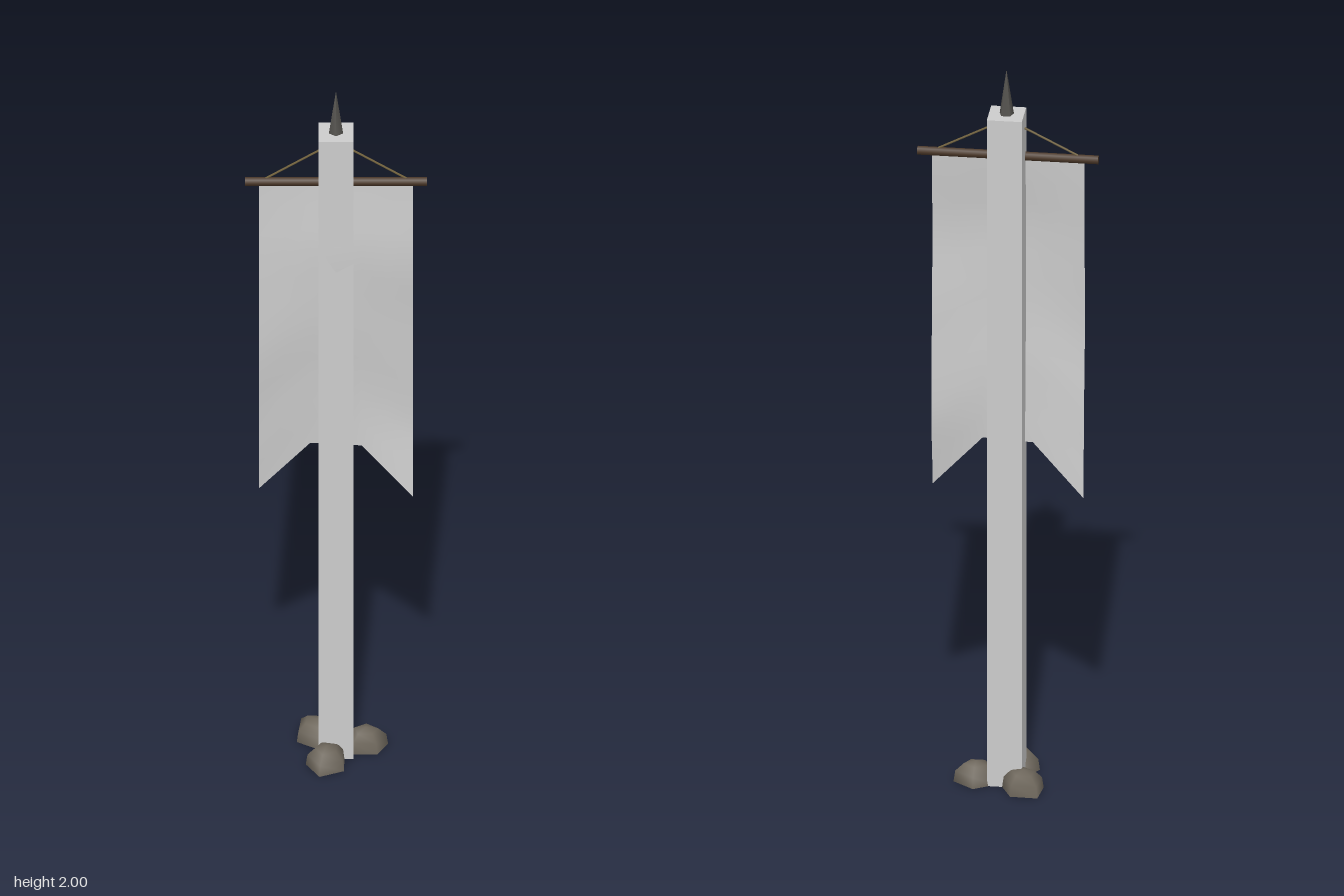
import * as THREE from 'three';

function material(name, color, side = THREE.FrontSide) {
  const m = new THREE.MeshStandardMaterial({ color, side });
  m.name = name;
  return m;
}

// Pentagonal stone: a base outline (clockwise from above) shrinking upward in rings
function stoneGeometry(outline) {
  const n = outline.length;
  const cx = outline.reduce((s, p) => s + p[0], 0) / n;
  const cz = outline.reduce((s, p) => s + p[1], 0) / n;
  const rings = [[0, 1], [0.03, 0.92], [0.05, 0.55]];
  const pos = [], index = [];
  const addRing = (y, k) => outline.forEach(([x, z]) => pos.push(cx + (x - cx) * k, y, cz + (z - cz) * k));
  rings.forEach(([y, k]) => addRing(y, k));
  pos.push(cx, 0.058, cz);
  const top = rings.length * n;
  addRing(0, 1);
  pos.push(cx, 0, cz);
  const base = top + 1, centre = base + n;
  for (let i = 0; i < n; i++) {
    const j = (i + 1) % n;
    for (let r = 0; r < rings.length - 1; r++) {
      const a = r * n, b = a + n;
      index.push(a + i, b + j, a + j, a + i, b + i, b + j);
    }
    index.push(top - n + i, top, top - n + j);
    index.push(centre, base + i, base + j);
  }
  const g = new THREE.BufferGeometry();
  g.setAttribute('position', new THREE.Float32BufferAttribute(pos, 3));
  g.setIndex(index);
  g.computeVertexNormals();
  return g;
}

// Rippled cloth with a swallow-tail lower edge
function bannerGeometry() {
  const g = new THREE.PlaneGeometry(0.392, 1, 6, 12);
  const p = g.attributes.position;
  // Sway in z at the left, middle and right of the cloth: [t, -x, centre, +x]
  const sway = [
    [0, 0.015, 0.015, 0.015],
    [0.25, 0.024, 0.031, 0.03],
    [0.5, 0.028, 0.027, 0.016],
    [0.8, 0.008, 0.015, 0.008],
    [1, -0.005, 0.01, 0.034],
  ];
  for (let i = 0; i < p.count; i++) {
    const x = p.getX(i), t = 0.5 - p.getY(i), a = Math.abs(x);
    const bottom = 0.945 - Math.max(0, (a - 0.065) / 0.131) * 0.145;
    let k = 0;
    while (k < sway.length - 2 && t > sway[k + 1][0]) k++;
    const f = THREE.MathUtils.smoothstep(t, sway[k][0], sway[k + 1][0]);
    const [, l, c, r] = sway[k].map((v, q) => THREE.MathUtils.lerp(v, sway[k + 1][q], f));
    const z = THREE.MathUtils.lerp(c, x < 0 ? l : r, a / 0.196);
    p.setXYZ(i, x, THREE.MathUtils.lerp(1.74, bottom, t), z);
  }
  g.computeVertexNormals();
  return g;
}

export function createModel() {
  const model = new THREE.Group();
  model.name = 'bannerPost';
  const pale = material('pale post', 0xcccccc);
  const cloth = material('pale cloth', 0xcacaca, THREE.DoubleSide);
  const wood = material('dark wood', 0x4a3728);
  const stone = material('stone', 0x6e675c);
  const metal = material('dark metal', 0x55534f);
  const rope = material('rope', 0x74643f);

  const add = (name, geometry, mat, x = 0, y = 0, z = 0) => {
    const mesh = new THREE.Mesh(geometry, mat);
    mesh.name = name;
    mesh.position.set(x, y, z);
    model.add(mesh);
    return mesh;
  };

  // Square post and its spike
  add('post', new THREE.BoxGeometry(0.09, 1.875, 0.09), pale, 0, 0.9375, -0.015);
  add('spike', new THREE.ConeGeometry(0.02, 0.13, 5), metal, 0, 1.935, -0.015);

  // Crossbar and banner
  add('crossbar', new THREE.CylinderGeometry(0.012, 0.012, 0.465, 8), wood, 0, 1.745, 0.015)
    .rotation.z = Math.PI / 2;
  add('banner', bannerGeometry(), cloth);

  // Ropes from the post to the crossbar
  for (const s of [-1, 1]) {
    const path = new THREE.LineCurve3(
      new THREE.Vector3(s * 0.18, 1.754, 0.015),
      new THREE.Vector3(s * 0.03, 1.838, 0));
    add(s > 0 ? 'leftRope' : 'rightRope', new THREE.TubeGeometry(path, 1, 0.003, 5), rope);
  }

  // Stones around the foot
  const outlines = [
    [[-0.1, -0.05], [-0.092, -0.118], [-0.022, -0.116], [0.008, -0.055], [-0.045, -0.015]],
    [[0.078, -0.083], [0.133, -0.042], [0.105, 0.008], [0.04, 0.008], [0.025, -0.05]],
    [[-0.045, 0.005], [0.022, 0.02], [0.02, 0.087], [-0.042, 0.114], [-0.077, 0.055]],
  ];
  outlines.forEach((o, i) => add(`stone${i + 1}`, stoneGeometry(o), stone));

  return model;
}
